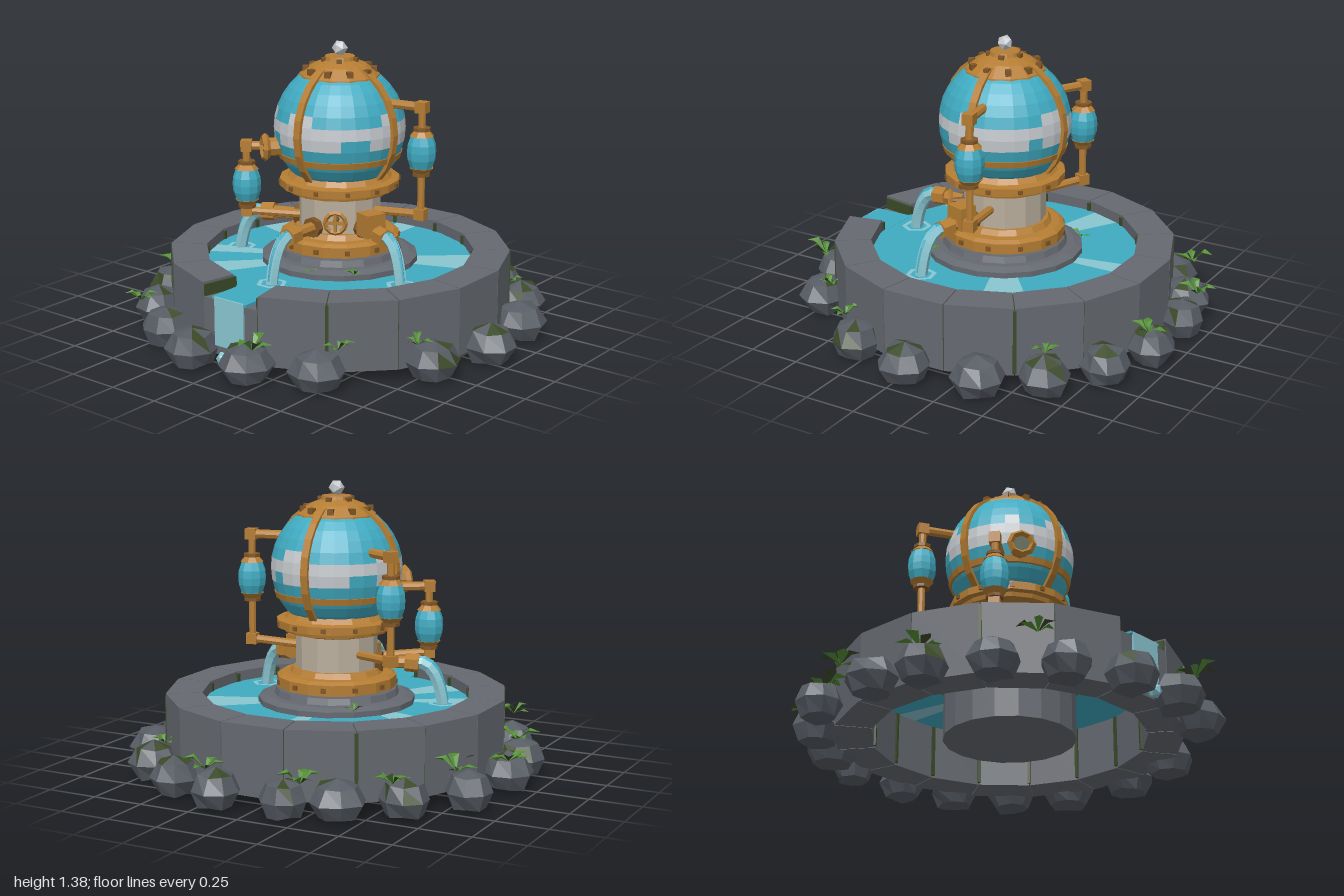
import * as THREE from 'three';

const mat = (name, color) => {
  const m = new THREE.MeshStandardMaterial({ color });
  m.name = name;
  return m;
};
const M = {
  stone: mat('wall stone', 0x656970), rock: mat('boulder grey', 0x575c64),
  bronze: mat('bronze', 0xb57d33), dark: mat('dark bronze', 0x805626),
  water: mat('water teal', 0x40abc2), foam: mat('pale water', 0x8ac6d1),
  pearl: mat('pearl grey', 0xc6cace), column: mat('column beige', 0xb9ae9d),
  leaf: mat('leaf green', 0x548f35), moss: mat('moss', 0x3b4a28),
};
M.leaf.side = THREE.DoubleSide;
M.foam.side = THREE.DoubleSide;

let seed = 7;
const rand = () => (seed = (seed * 16807) % 2147483647) / 2147483647;

// Faceted mesh added to a parent
function add(parent, name, geo, material, x = 0, y = 0, z = 0) {
  const g = geo.index ? geo.toNonIndexed() : geo;
  g.computeVertexNormals();
  const m = new THREE.Mesh(g, material);
  m.name = name;
  m.position.set(x, y, z);
  parent.add(m);
  return m;
}
// Gives every triangle a material index chosen from its centre
function paint(geo, pick) {
  const g = geo.toNonIndexed(), p = g.attributes.position;
  g.clearGroups();
  for (let i = 0; i < p.count; i += 3) {
    const c = [0, 1, 2].map(k => new THREE.Vector3().fromBufferAttribute(p, i + k));
    g.addGroup(i, 3, pick(c[0].add(c[1]).add(c[2]).divideScalar(3)));
  }
  return g;
}
const lathe = (pts, n) => new THREE.LatheGeometry(pts.map(p => new THREE.Vector2(...p)), n);
const cyl = (r0, r1, h, n) => new THREE.CylinderGeometry(r0, r1, h, n);
// Straight pipe between two points
function rod(parent, name, a, b, r, material, n = 8, r2 = r) {
  const A = new THREE.Vector3(...a), B = new THREE.Vector3(...b), d = B.clone().sub(A);
  const m = add(parent, name, cyl(r2, r, d.length(), n), material);
  m.position.copy(A).add(B).multiplyScalar(0.5);
  m.quaternion.setFromUnitVectors(new THREE.Vector3(0, 1, 0), d.normalize());
  return m;
}
// Group turned so its +z points outward at the given angle
function spoke(parent, name, angle) {
  const g = new THREE.Group();
  g.name = name;
  g.rotation.y = angle;
  parent.add(g);
  return g;
}
function bolts(parent, name, n, r, y, size) {
  for (let i = 0; i < n; i++) {
    const g = spoke(parent, name, ((i + 0.5) / n) * Math.PI * 2);
    add(g, name, new THREE.BoxGeometry(size, size, size), M.dark, 0, y, r);
  }
}

function buildBasin(f) {
  const n = 16, step = (Math.PI * 2) / n, r0 = 0.643, r1 = 0.816;
  for (let i = 0; i < n; i++) {
    const g = spoke(f, 'wallSection', i * step);
    const h = step / 2 - 0.003, s = new THREE.Shape();
    s.moveTo(-r0 * Math.sin(h), -r0 * Math.cos(h));
    s.lineTo(-r1 * Math.sin(h), -r1 * Math.cos(h));
    s.lineTo(r1 * Math.sin(h), -r1 * Math.cos(h));
    s.lineTo(r0 * Math.sin(h), -r0 * Math.cos(h));
    const top = i === 0 ? 0.33 : 0.395;
    const geo = new THREE.ExtrudeGeometry(s, { depth: top - 0.07, bevelEnabled: false });
    add(g, i === 0 ? 'spillway' : 'wallBlock', geo.rotateX(-Math.PI / 2), M.stone, 0, 0.07, 0);
    const j = spoke(f, 'joint', (i + 0.5) * step);
    const len = i % 4 === 1 ? 0.188 : 0.178;
    add(j, 'mossyJoint', new THREE.BoxGeometry(0.016, 0.305, len), M.moss, 0, 0.232, 0.632 + len / 2);
  }
  // Pool with pale wedges
  const pale = [[-180, -170], [110, 128], [-118, -104], [-46, -32], [-70, -61]];
  const pool = paint(cyl(0.636, 0.636, 0.012, 72), c => {
    const a = THREE.MathUtils.radToDeg(Math.atan2(c.x, c.z));
    return pale.some(([lo, hi]) => a > lo && a < hi) ? 1 : 0;
  });
  add(f, 'pool', pool, [M.water, M.foam], 0, 0.338, 0);
  add(f, 'spillWater', new THREE.BoxGeometry(0.2, 0.012, 0.2), M.water, 0, 0.339, 0.71);
  add(f, 'waterfall', new THREE.BoxGeometry(0.17, 0.23, 0.009), M.foam, 0, 0.23, 0.807);
  add(f, 'fallSplash', new THREE.IcosahedronGeometry(0.035), M.foam, 0, 0.08, 0.85);
  // Pedestal
  add(f, 'pedestal', lathe([[0, 0.07], [0.31, 0.07], [0.31, 0.33], [0.375, 0.335], [0.375, 0.37],
    [0.335, 0.385], [0.3, 0.385], [0.29, 0.415], [0, 0.415]], 18), M.stone);
}

function buildTower(f) {
  add(f, 'baseRing', lathe([[0.25, 0.4], [0.25, 0.42], [0.287, 0.425], [0.287, 0.475], [0.265, 0.488],
    [0.225, 0.49], [0.21, 0.515], [0.18, 0.515]], 16), M.bronze);
  bolts(f, 'baseBolt', 12, 0.282, 0.45, 0.022);
  add(f, 'column', cyl(0.195, 0.195, 0.22, 12), M.column, 0, 0.6, 0);
  add(f, 'collar', lathe([[0.19, 0.675], [0.25, 0.69], [0.255, 0.71], [0.287, 0.712], [0.287, 0.748],
    [0.25, 0.755], [0.225, 0.785], [0.17, 0.785]], 16), M.bronze);
  bolts(f, 'collarBolt', 12, 0.282, 0.73, 0.02);

  // Globe with a stepped pearl band
  const globe = paint(new THREE.SphereGeometry(0.312, 28, 18), c => {
    const row = Math.floor(Math.asin(c.y / c.length()) / (Math.PI / 18));
    const col = Math.floor((Math.atan2(c.x, c.z) / (Math.PI * 2) + 1) * 28) % 28;
    if (row === 0) return 1;
    if (row === -1) return [3, 4, 11, 17, 18, 25].includes(col) ? 0 : 1;
    if (row === 1) return [0, 6, 12, 13, 19, 24, 27].includes(col) ? 1 : 0;
    return 0;
  });
  add(f, 'globe', globe, [M.water, M.pearl], 0, 0.99, 0);
  for (let i = 0; i < 2; i++) {
    const s = new THREE.Shape().absarc(0, 0, 0.327, 0, Math.PI * 2);
    s.holes.push(new THREE.Path().absarc(0, 0, 0.3, 0, Math.PI * 2, true));
    const rib = new THREE.ExtrudeGeometry(s, { depth: 0.036, bevelEnabled: false, curveSegments: 12 });
    rib.translate(0, 0, -0.018).rotateY((i * Math.PI) / 2);
    add(f, 'globeRib', rib, M.bronze, 0, 0.99, 0);
  }
  add(f, 'globeBand', lathe([[0.27, 0.85], [0.289, 0.852], [0.297, 0.882], [0.28, 0.886]], 28), M.bronze);
  add(f, 'cap', lathe([[0.16, 1.215], [0.192, 1.22], [0.188, 1.245], [0.13, 1.29], [0.075, 1.312],
    [0.07, 1.33], [0, 1.33]], 14), M.bronze);
  bolts(f, 'capBolt', 10, 0.16, 1.268, 0.028);
  bolts(f, 'capStud', 5, 0.075, 1.312, 0.026);
  add(f, 'finial', new THREE.IcosahedronGeometry(0.038), M.pearl, 0, 1.366, 0);

  // Porthole nozzle on the globe
  const p = spoke(f, 'porthole', -0.67);
  rod(p, 'portholePipe', [0, 0.91, 0.25], [0, 0.91, 0.35], 0.045, M.bronze);
  const rim = new THREE.TorusGeometry(0.053, 0.017, 4, 8);
  add(p, 'portholeRim', rim, M.bronze, 0, 0.91, 0.36);
  rod(p, 'portholeGlass', [0, 0.91, 0.34], [0, 0.91, 0.362], 0.045, M.moss);
}

// Side tank on a bracket pipe
function buildTank(f, angle, R, top, mid, low) {
  const g = spoke(f, 'sideTank', angle);
  rod(g, 'upperArm', [0, top, 0.2], [0, top, R + 0.01], 0.022, M.bronze);
  rod(g, 'downPipe', [0, low, R], [0, top, R], 0.018, M.bronze);
  rod(g, 'lowerArm', [0, low, R + 0.01], [0, low - 0.015, 0.17], 0.02, M.bronze);
  for (const y of [top, low]) add(g, 'elbow', new THREE.BoxGeometry(0.052, 0.052, 0.052), M.bronze, 0, y, R);
  add(g, 'tank', lathe([[0.03, -0.095], [0.05, -0.08], [0.066, -0.035], [0.069, 0], [0.066, 0.035],
    [0.05, 0.08], [0.03, 0.095]], 10), M.water, 0, mid, R);
  rod(g, 'upperCup', [0, mid + 0.075, R], [0, mid + 0.1, R], 0.058, M.bronze, 8, 0.035);
  rod(g, 'lowerCup', [0, mid - 0.1, R], [0, mid - 0.075, R], 0.035, M.bronze, 8, 0.058);
  rod(g, 'upperFlange', [0, mid + 0.1, R], [0, mid + 0.115, R], 0.042, M.dark);
  rod(g, 'lowerFlange', [0, mid - 0.115, R], [0, mid - 0.1, R], 0.042, M.dark);
}

// Water spout and its arc
function buildSpout(f, angle) {
  const g = spoke(f, 'spout', angle);
  rod(g, 'spoutPipe', [0, 0.54, 0.17], [0, 0.54, 0.36], 0.03, M.bronze);
  rod(g, 'spoutFlange', [0, 0.54, 0.19], [0, 0.54, 0.22], 0.05, M.dark);
  rod(g, 'nozzle', [0, 0.54, 0.33], [0, 0.535, 0.395], 0.045, M.bronze, 6);
  const arc = new THREE.QuadraticBezierCurve3(new THREE.Vector3(0, 0.54, 0.37),
    new THREE.Vector3(0, 0.56, 0.48), new THREE.Vector3(0, 0.34, 0.51));
  add(g, 'waterArc', new THREE.TubeGeometry(arc, 7, 0.03, 6), M.foam);
  add(g, 'arcStripe', new THREE.TubeGeometry(arc, 7, 0.014, 4), M.water, 0, 0.019, 0.014);
  add(g, 'ripple', new THREE.RingGeometry(0.052, 0.074, 6).rotateX(-Math.PI / 2), M.foam, 0, 0.347, 0.51);
  return g;
}

function buildRock(parent, x, z, i) {
  const r = 0.108 + rand() * 0.022, geo = new THREE.SphereGeometry(1, 8, 4), p = geo.attributes.position;
  const off = rand() * 6;
  for (let k = 0; k < p.count; k++) {
    const v = new THREE.Vector3().fromBufferAttribute(p, k);
    const j = 1 + 0.1 * Math.sin(v.x * 5 + off) * Math.cos(v.z * 4 + off);
    p.setXYZ(k, v.x * j * r, Math.max(v.y * 0.1 * j, -0.085), v.z * j * r);
  }
  const mossy = i % 3 === 0 ? 0.02 : 0.06;
  const g = paint(geo, c => (c.y > mossy && Math.sin(c.x * 60 + c.z * 45 + off) > 0.72 ? 1 : 0));
  add(parent, 'boulder', g, [M.rock, M.moss], x, 0.1, z).rotation.y = rand() * 6;
}

// Plant made of folded pointed leaves
function buildPlant(parent, x, y, z, size, n = 6) {
  const g = spoke(parent, 'plant', rand() * 6);
  g.position.set(x, y, z);
  for (let i = 0; i < n; i++) {
    const L = size * (0.75 + rand() * 0.4), w = L * 0.24, rise = L * (0.25 + rand() * 0.4);
    const base = [0, 0, 0], a = [-w, rise, L * 0.5], b = [w, rise, L * 0.5];
    const m = [0, rise * 0.75, L * 0.5], tip = [0, rise * 0.8, L];
    const geo = new THREE.BufferGeometry();
    geo.setAttribute('position', new THREE.Float32BufferAttribute(
      [base, m, a, base, b, m, a, m, tip, m, b, tip].flat(), 3));
    add(g, 'leaf', geo, i % 3 === 2 ? M.moss : M.leaf).rotation.y = (i / n) * Math.PI * 2;
  }
}

export function createModel() {
  const model = new THREE.Group();
  model.name = 'fountain';
  const f = new THREE.Group();
  f.name = 'basinAndTower';
  f.position.set(0.02, 0, -0.03);
  model.add(f);

  buildBasin(f);
  buildTower(f);
  buildTank(f, 1.73, 0.43, 1.13, 0.92, 0.62);
  buildTank(f, -2.065, 0.44, 1.09, 0.89, 0.61);
  buildTank(f, -0.977, 0.445, 0.89, 0.7, 0.57);

  buildSpout(f, 0);
  buildSpout(f, -1.24);
  const right = buildSpout(f, 1.24);
  add(right, 'valveBox', new THREE.BoxGeometry(0.1, 0.11, 0.09), M.bronze, 0, 0.575, 0.265);

  // Valve hand wheel
  const v = spoke(f, 'valveWheel', 0.58);
  rod(v, 'wheelStem', [0, 0.59, 0.17], [0, 0.59, 0.265], 0.014, M.dark);
  add(v, 'wheelRim', new THREE.TorusGeometry(0.048, 0.011, 4, 12), M.bronze, 0, 0.59, 0.26);
  add(v, 'wheelBar', new THREE.BoxGeometry(0.09, 0.014, 0.014), M.bronze, 0, 0.59, 0.26);
  add(v, 'wheelPost', new THREE.BoxGeometry(0.014, 0.09, 0.014), M.bronze, 0, 0.59, 0.26);

  // Boulders around the wall
  [[-0.17, -0.89], [0.17, -0.89], [0.45, -0.8], [0.68, -0.62], [0.83, -0.37], [0.89, -0.03],
    [0.8, 0.3], [0.47, 0.72], [0.17, 0.84], [-0.15, 0.84], [-0.43, 0.71], [-0.67, 0.51],
    [-0.82, 0.24], [-0.86, -0.02], [-0.83, -0.39], [-0.63, -0.63], [-0.39, -0.8],
  ].forEach(([x, z], i) => buildRock(model, x, z, i));

  // Plants on the boulders and at the pedestal
  [[0.22, -0.9], [-0.27, -0.92], [-0.62, -0.73], [-0.78, -0.42], [-0.92, -0.16], [-0.81, 0.22],
    [-0.6, 0.7], [0.24, 0.88], [0.53, 0.64], [0.77, 0.38], [0.63, -0.6],
  ].forEach(([x, z], i) => buildPlant(model, x, 0.19, z, i > 7 ? 0.07 : 0.1));
  [[-0.22, -0.32], [0.3, 0.22], [0.12, 0.32]].forEach(([x, z]) => buildPlant(model, x, 0.375, z, 0.05, 4));
  return model;
}
